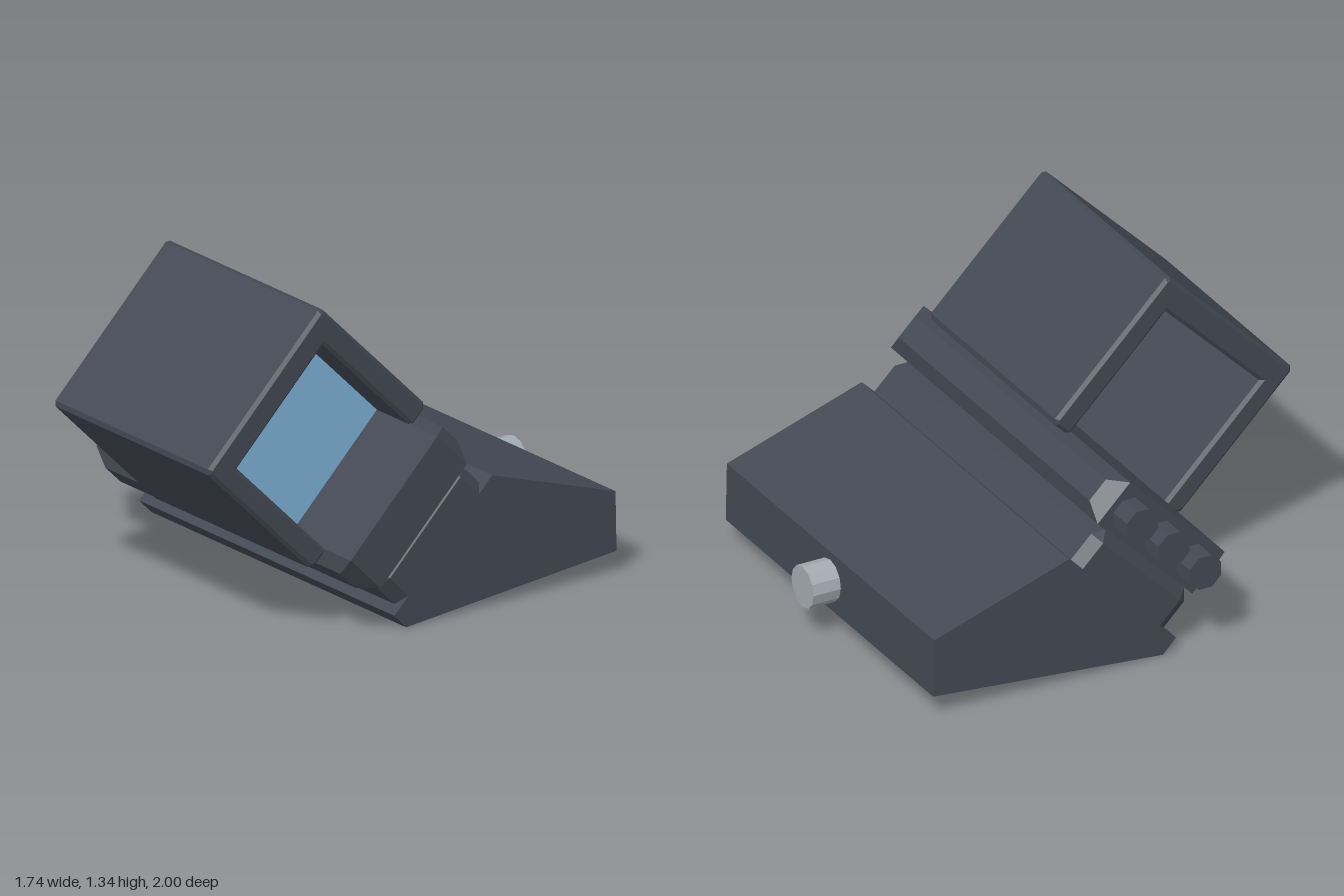
import * as THREE from 'three';
import { ConvexGeometry } from 'three/addons/geometries/ConvexGeometry.js';

// Closed profile swept along x from x0 to x1; profile abscissa points towards -z
function sweepX(points, x0, x1, bevel = 0, bevelDepth = 0) {
  const shape = new THREE.Shape(points.map(([a, b]) => new THREE.Vector2(a, b)));
  const geo = new THREE.ExtrudeGeometry(shape, {
    depth: x1 - x0 - 2 * bevelDepth,
    bevelEnabled: bevel > 0,
    bevelSegments: 1,
    bevelSize: bevel,
    bevelOffset: -bevel,
    bevelThickness: bevelDepth,
  });
  geo.rotateY(Math.PI / 2);
  geo.translate(x0 + bevelDepth, 0, 0);
  return geo;
}

// Chamfered block: hull of several boxes, each [x0, x1, y0, y1, w0, w1] with w = -z
function chamferBlock(...boxes) {
  const pts = [];
  for (const [x0, x1, y0, y1, w0, w1] of boxes)
    for (const x of [x0, x1])
      for (const y of [y0, y1])
        for (const w of [w0, w1]) pts.push(new THREE.Vector3(x, y, -w));
  return new ConvexGeometry(pts);
}

function faceted(geo) {
  const flat = geo.toNonIndexed();
  flat.computeVertexNormals();
  return flat;
}

export function createModel() {
  const darkPaint = new THREE.MeshStandardMaterial({ color: 0x434954 });
  darkPaint.name = 'dark grey paint';
  const blueGlass = new THREE.MeshStandardMaterial({ color: 0x7fb3da });
  blueGlass.name = 'blue glass';
  const steel = new THREE.MeshStandardMaterial({ color: 0xa2aab2 });
  steel.name = 'steel';

  const model = new THREE.Group();
  model.name = 'tiltedSight';
  const add = (parent, name, geo, mat) => {
    const mesh = new THREE.Mesh(geo, mat);
    mesh.name = name;
    parent.add(mesh);
    return mesh;
  };

  // Wedge-shaped mount that stands on the ground
  add(model, 'mount', sweepX([
    [-0.14, 0], [0.882, 0.09], [0.877, 0.337], [0.278, 0.535],
    [0.24, 0.497], [-0.16, 0.097], [-0.198, 0.06],
  ], -0.81, 0.825), darkPaint);

  // Round screw at the back
  const screw = faceted(new THREE.CylinderGeometry(0.088, 0.088, 0.14, 12));
  screw.rotateX(Math.PI / 2);
  screw.translate(0.01, 0.215, -0.93);
  add(model, 'screw', screw, steel);

  // Everything above the mount leans 45 degrees forward
  const upper = new THREE.Group();
  upper.name = 'upperAssembly';
  upper.rotation.x = Math.PI / 4;
  model.add(upper);

  add(upper, 'neck', chamferBlock(
    [-0.805, 0.825, 0.17, 0.31, 0, 0.484],
    [-0.765, 0.785, 0.17, 0.31, -0.054, 0.528],
    [-0.765, 0.785, 0.17, 0.356, -0.01, 0.484],
  ), darkPaint);

  add(upper, 'body', chamferBlock(
    [-0.765, 0.865, 0.355, 0.56, -0.062, 0.532],
    [-0.705, 0.8, 0.407, 0.51, -0.115, 0.588],
  ), darkPaint);

  // U-shaped hood, open at both ends and straddling the body
  add(upper, 'hood', sweepX([
    [-0.135, 0.543], [-0.06, 0.543], [-0.06, 1.153], [0.53, 1.153],
    [0.53, 0.543], [0.613, 0.543], [0.633, 0.563], [0.633, 1.255],
    [0.618, 1.27], [-0.14, 1.27], [-0.157, 1.253], [-0.157, 0.565],
  ], -0.305, 0.695, 0.015, 0.012), darkPaint);

  // Window pane inside the hood
  const lens = new THREE.BoxGeometry(0.02, 0.597, 0.592);
  lens.translate(0.47, 0.857, -0.235);
  add(upper, 'lens', lens, blueGlass);

  // Row of three buttons on the side
  for (let i = -1; i <= 1; i++) {
    const button = faceted(new THREE.CylinderGeometry(0.075, 0.075, 0.125, 8));
    button.rotateY(Math.PI / 8);
    button.rotateZ(Math.PI / 2);
    button.translate(-0.8075, 0.456, -0.237 + i * 0.198);
    add(upper, 'button', button, darkPaint);
  }

  return model;
}
